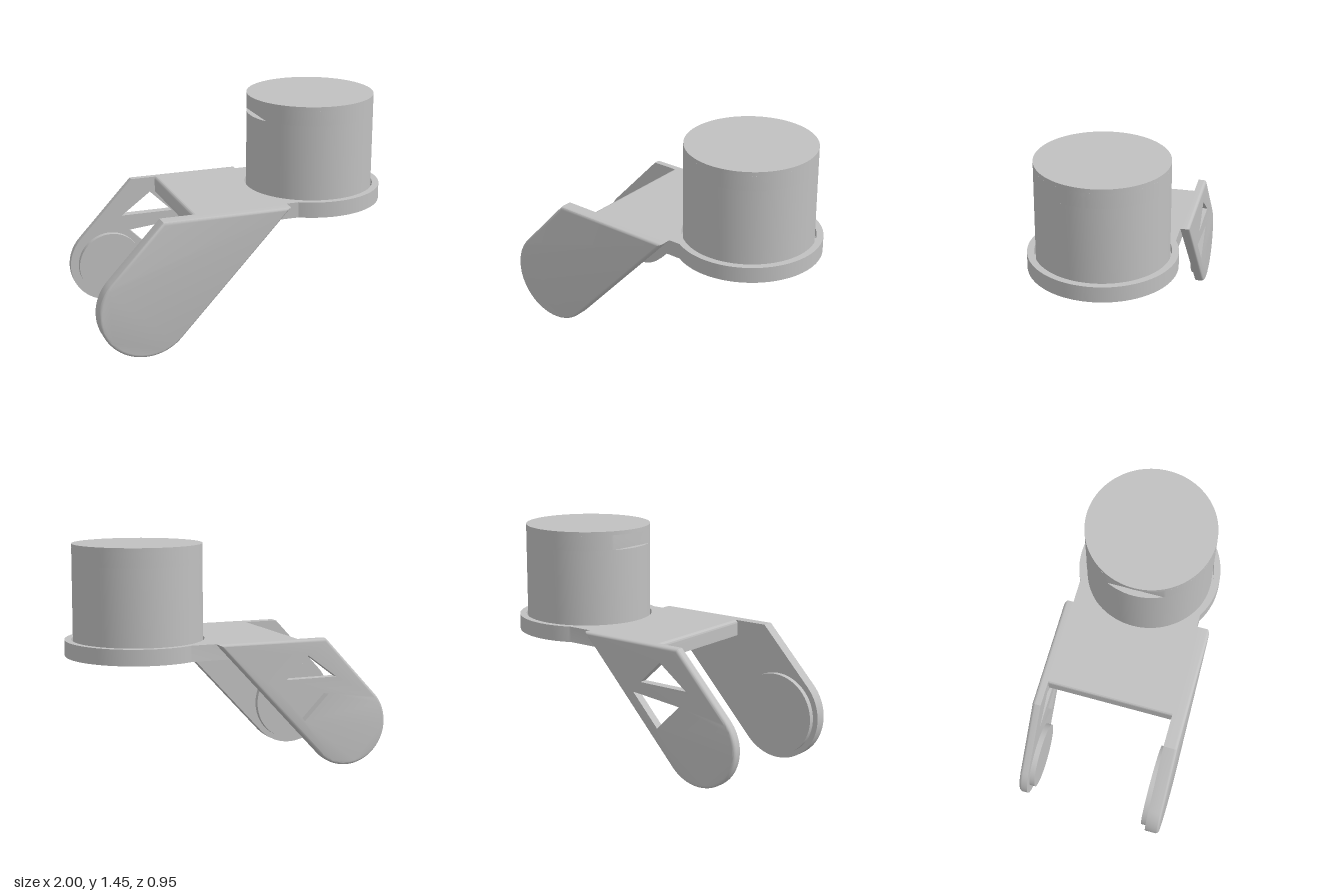
import * as THREE from 'three';
import { toCreasedNormals } from 'three/addons/utils/BufferGeometryUtils.js';

const CX = 0.543, CZ = -0.01;          // centre of the round seat and drum
const PLATE_BOTTOM = 0.76, PLATE_TOP = 0.86;
const DRUM_R = 0.405, GROOVE_R = 0.415;
const TILT = THREE.MathUtils.degToRad(47);

// Extrude an (x, -z) shape upwards from y0 to y1
function extrudeUp(shape, y0, y1) {
  const g = new THREE.ExtrudeGeometry(shape, { depth: y1 - y0, bevelEnabled: false, curveSegments: 64 });
  g.rotateX(-Math.PI / 2).translate(0, y0, 0);
  return toCreasedNormals(g, 0.5);
}

// Leg outline, counter-clockwise: flat top, slanted sides, round foot, shrunk by inset
function legOutline(cx, cy, radius, inset) {
  const r = radius - inset, top = PLATE_TOP - inset, pts = [];
  const onArc = a => new THREE.Vector2(cx + r * Math.cos(a), cy + r * Math.sin(a));
  const atTop = p => new THREE.Vector2(p.x + (top - p.y) / Math.tan(TILT), top);
  pts.push(atTop(onArc(TILT - Math.PI / 2)), atTop(onArc(TILT + Math.PI / 2)));
  for (let i = 0; i <= 40; i++) pts.push(onArc(TILT + Math.PI / 2 + (Math.PI * i) / 40));
  return pts;
}

// Leg slab with a rounded outer rim; side = +1 for front, -1 for back
function legGeometry({ cx, cy, radius, inner, outer, fillet, side, holes }) {
  const pos = [];
  const tri = (a, b, c) => (side > 0 ? [a, b, c] : [a, c, b]).forEach(p => pos.push(p[0], p[1], p[2] * side));
  const at = (pts, z) => pts.map(p => [p.x, p.y, z]);
  const wall = (a, b) => a.forEach((p, i) => {
    const j = (i + 1) % a.length;
    tri(p, a[j], b[j]);
    tri(p, b[j], b[i]);
  });
  // rings from the inner face to the rounded outer face
  const levels = [[0, inner]];
  for (let i = 0; i <= 5; i++) {
    const a = (Math.PI / 2) * (i / 5);
    levels.push([fillet * (1 - Math.cos(a)), outer - fillet * (1 - Math.sin(a))]);
  }
  const rings = levels.map(([inset, z]) => at(legOutline(cx, cy, radius, inset), z));
  for (let i = 0; i + 1 < rings.length; i++) wall(rings[i], rings[i + 1]);
  holes.forEach(h => wall(at(h, inner), at(h, outer)));
  // flat faces
  for (const [inset, z, flip] of [[0, inner, true], [fillet, outer, false]]) {
    const contour = legOutline(cx, cy, radius, inset);
    const all = at([contour, ...holes].flat(), z);
    for (const [a, b, c] of THREE.ShapeUtils.triangulateShape(contour, holes))
      flip ? tri(all[a], all[c], all[b]) : tri(all[a], all[b], all[c]);
  }
  const g = new THREE.BufferGeometry();
  g.setAttribute('position', new THREE.Float32BufferAttribute(pos, 3));
  return toCreasedNormals(g, 0.6);
}

export function createModel() {
  const group = new THREE.Group();
  const grey = new THREE.MeshStandardMaterial({ color: 0xc0c0c0 });
  grey.name = 'grey';
  const add = (name, geometry) => {
    const mesh = new THREE.Mesh(geometry, grey);
    mesh.name = name;
    group.add(mesh);
    return mesh;
  };

  // Bridge plate running into the round seat, open in the middle for the drum
  const R = 0.457, back = 0.42, front = -0.385, edgeX = -0.36;
  const a0 = Math.asin((front + CZ * 1 + 0) / R), a1 = Math.asin((back + CZ) / R);
  const plate = new THREE.Shape();
  plate.moveTo(edgeX, front);
  plate.lineTo(CX - R * Math.cos(a0), front);
  plate.absarc(CX, -CZ, R, -Math.PI - a0, Math.PI - a1, false);
  plate.lineTo(edgeX, back);
  plate.closePath();
  plate.holes.push(new THREE.Path().absarc(CX, -CZ, GROOVE_R, 0, Math.PI * 2, true));
  add('bridgePlate', extrudeUp(plate, PLATE_BOTTOM, PLATE_TOP));

  // Rounded end of the plate between the legs
  const lip = new THREE.Shape();
  lip.moveTo(edgeX, PLATE_BOTTOM);
  lip.lineTo(edgeX, PLATE_TOP);
  lip.absarc(edgeX, PLATE_TOP - 0.02, 0.02, Math.PI / 2, Math.PI, false);
  lip.lineTo(edgeX - 0.02, PLATE_BOTTOM);
  lip.closePath();
  const lipGeometry = new THREE.ExtrudeGeometry(lip, { depth: back - front, bevelEnabled: false, curveSegments: 8 });
  add('plateLip', toCreasedNormals(lipGeometry.translate(0, 0, -back), 0.6));

  // Drum standing in a narrow groove, up to the notch
  const profile = [[0, 0.76], [GROOVE_R, 0.76], [GROOVE_R, 0.81], [DRUM_R, 0.81], [DRUM_R, 1.335], [0, 1.335]];
  const drum = new THREE.LatheGeometry(profile.map(p => new THREE.Vector2(...p)), 96);
  add('drum', toCreasedNormals(drum.translate(CX, 0, CZ), 0.5));

  // Notched band: circle with a flat on the leg side
  const cut = Math.acos(0.365 / DRUM_R);
  const band = new THREE.Shape();
  band.absarc(CX, -CZ, DRUM_R, -Math.PI + cut, Math.PI - cut, false);
  band.closePath();
  add('notchedBand', extrudeUp(band, 1.335, 1.43));

  // Drum lid
  const lid = new THREE.CylinderGeometry(DRUM_R, DRUM_R, 0.025, 96);
  add('drumLid', lid.translate(CX, 1.4425, CZ));

  // Legs: solid thick front one, thin back one with two triangular openings
  const v = (x, y) => new THREE.Vector2(x, y);
  const openings = [
    [v(-0.265, 0.615), v(-0.61, 0.615), v(-0.415, 0.76)],
    [v(-0.21, 0.545), v(-0.395, 0.345), v(-0.56, 0.51)],
  ].map(h => (THREE.ShapeUtils.isClockWise(h) ? h : h.reverse()));
  add('frontLeg', legGeometry({
    cx: -0.7, cy: 0.3, radius: 0.3, inner: 0.385, outer: 0.473, fillet: 0.02, side: 1, holes: [],
  }));
  add('backLeg', legGeometry({
    cx: -0.7, cy: 0.3, radius: 0.265, inner: 0.42, outer: 0.475, fillet: 0.02, side: -1, holes: openings,
  }));

  // Round pads on the inner faces of the feet
  for (const [name, r, z0, z1] of [['frontPad', 0.264, 0.35, 0.39], ['backPad', 0.21, -0.425, -0.386]]) {
    const pad = new THREE.CylinderGeometry(r, r, z1 - z0, 72);
    add(name, pad.rotateX(Math.PI / 2).translate(-0.702, 0.298, (z0 + z1) / 2));
  }
  return group;
}
